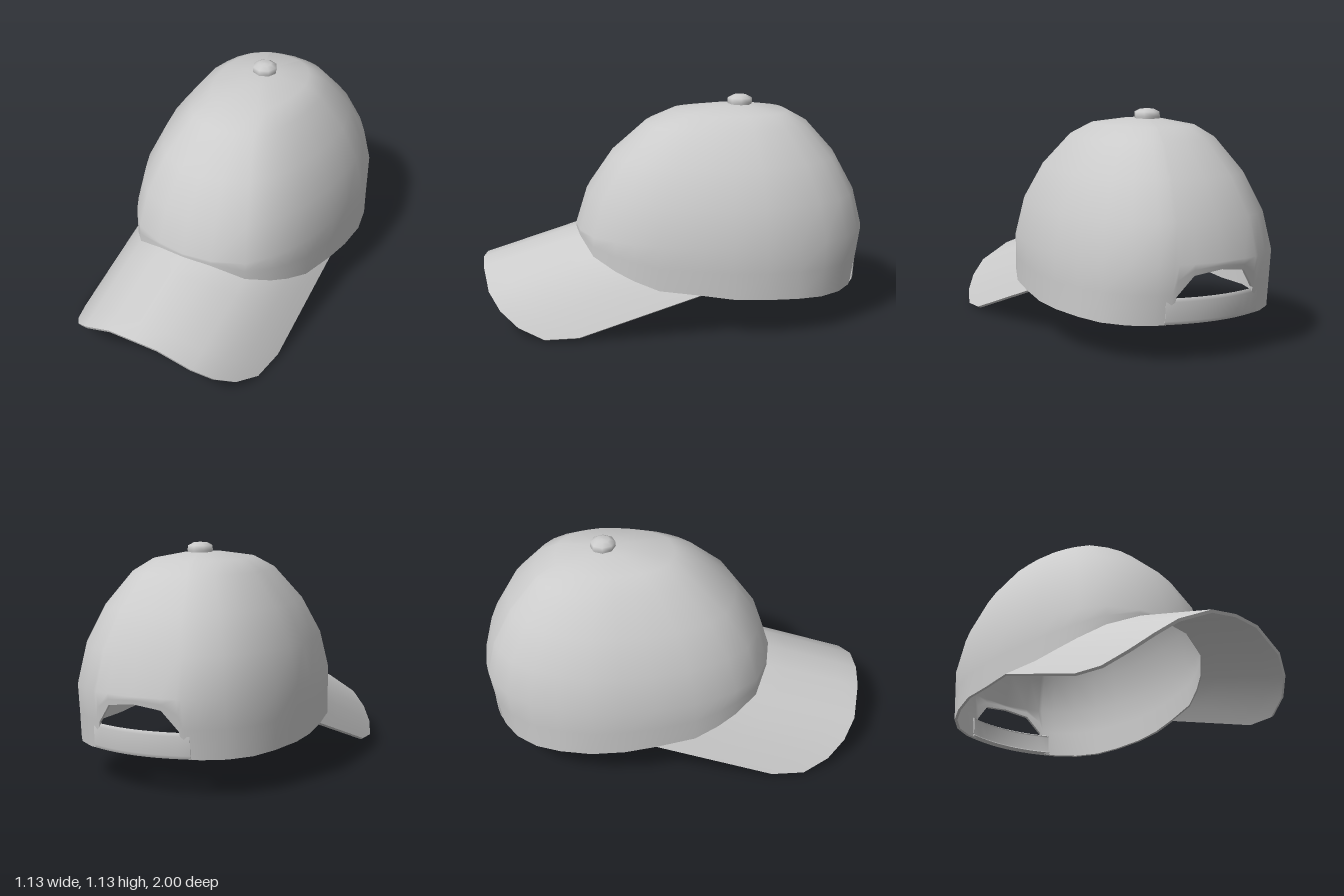
import * as THREE from 'three';
import { mergeVertices } from 'three/addons/utils/BufferGeometryUtils.js';

// Arched, forward-sloping surface shared by the brim and the crown's front seam
const brimY = (x, z) => 0.607 - 0.327 * z - 0.425 * Math.pow(Math.abs(x) / 0.548, 2.4);
const lerp = THREE.MathUtils.lerp;

// Half outline of the crown from front centre to back centre: x, z
const front = [[0, 0.505], [0.15, 0.485], [0.31, 0.42], [0.4, 0.31], [0.45, 0.22], [0.5, 0.1], [0.545, -0.1]];
const frontRim = front.map(([x, z]) => [x, z, brimY(x, z)]);
// Sides and back: x, z, rim height; the rim rises at the end for the rear opening
const backRim = [
  [0.56, -0.26, 0.2], [0.565, -0.43, 0.195], [0.53, -0.59, 0.185], [0.48, -0.73, 0.177], [0.4, -0.85, 0.175],
  [0.3, -0.93, 0.176], [0.235, -0.96, 0.178], [0.215, -0.966, 0.31], [0.14, -0.984, 0.405], [0, -1, 0.425],
];
// Front edge of the brim, matched to the front seam: x, z
const brimEdge = [[0, 0.995], [0.14, 0.985], [0.31, 0.95], [0.4, 0.89], [0.47, 0.8], [0.525, 0.67], [0.548, 0.5]];

// Dome profile: share of radius, share of height
const dome = [[0.93, 0.3], [0.78, 0.59], [0.56, 0.85], [0.4, 0.945], [0.15, 0.99], [0, 1]];
const BASE = 0.46, TOP = 1.085, APEX_Z = -0.33;

// Surface through columns of points; columns run right, points run up
function gridSurface(columns) {
  const rows = columns[0].length, index = [];
  const geo = new THREE.BufferGeometry().setFromPoints(columns.flat());
  for (let i = 0; i < columns.length - 1; i++) {
    for (let j = 0; j < rows - 1; j++) {
      const a = i * rows + j, b = a + rows;
      index.push(a, b, b + 1, a, b + 1, a + 1);
    }
  }
  geo.setIndex(index);
  const merged = mergeVertices(geo, 1e-4);
  const src = merged.index.array, clean = [];
  for (let k = 0; k < src.length; k += 3) {
    const [a, b, c] = [src[k], src[k + 1], src[k + 2]];
    if (a !== b && b !== c && a !== c) clean.push(a, b, c);
  }
  merged.setIndex(clean);
  merged.computeVertexNormals();
  return merged;
}

// Gives a surface an inner side and walls along its open edges
function thicken(geo, thickness) {
  const p = geo.attributes.position, n = geo.attributes.normal, tri = geo.index.array;
  const outer = [], inner = [];
  for (let i = 0; i < p.count; i++) {
    const v = new THREE.Vector3().fromBufferAttribute(p, i);
    outer.push(v);
    inner.push(v.clone().addScaledVector(new THREE.Vector3().fromBufferAttribute(n, i), -thickness));
  }
  const points = [...outer, ...inner], index = [], edges = new Map();
  for (let k = 0; k < tri.length; k += 3) {
    const t = [tri[k], tri[k + 1], tri[k + 2]];
    index.push(...t, t[0] + p.count, t[2] + p.count, t[1] + p.count);
    t.forEach((a, e) => edges.set(`${a},${t[(e + 1) % 3]}`, [a, t[(e + 1) % 3]]));
  }
  for (const [a, b] of edges.values()) {
    if (edges.has(`${b},${a}`)) continue;
    const s = points.length;
    points.push(outer[b], outer[a], inner[a], inner[b]);
    index.push(s, s + 1, s + 2, s, s + 2, s + 3);
  }
  const solid = new THREE.BufferGeometry().setFromPoints(points);
  solid.setIndex(index);
  solid.computeVertexNormals();
  return solid;
}

// One upright rib of the crown, from rim to apex
function crownColumn([x, z, rim]) {
  const points = [0, 0.5, 1].map((k) => {
    const y = lerp(rim, BASE, k);
    const tuck = 0.045 * ((BASE - y) / 0.28) * THREE.MathUtils.clamp((-z - 0.6) / 0.4, 0, 1);
    return new THREE.Vector3(x, y, z + tuck);
  });
  for (const [r, h] of dome) {
    points.push(new THREE.Vector3(x * r, lerp(BASE, TOP, h), lerp(APEX_Z, z, r)));
  }
  return points;
}

const mirrorX = ([x, ...rest]) => [-x, ...rest];

export function createModel() {
  const cap = new THREE.Group();
  cap.name = 'cap';
  const material = new THREE.MeshStandardMaterial({ color: 0xcccccc, side: THREE.DoubleSide });
  const add = (name, geometry) => {
    const mesh = new THREE.Mesh(geometry, material);
    mesh.name = name;
    cap.add(mesh);
    return mesh;
  };

  // Crown: a closed ring of ribs, front to back and round again
  const half = [...frontRim, ...backRim];
  const ring = [...half, ...half.slice(0, -1).reverse().map(mirrorX)];
  add('crown', thicken(gridSurface(ring.map(crownColumn)), 0.015));

  // Brim: strips from the front edge back to the seam, bent by the arch rule
  const strips = front.map(([x, z], i) => [x, z, ...brimEdge[i]]);
  const allStrips = [
    ...strips.slice(1).reverse().map(([x, z, ex, ez]) => [-x, z, -ex, ez]),
    ...strips,
  ];
  const brimColumns = allStrips.map(([x, z, ex, ez]) => {
    const points = [];
    for (let k = 0; k <= 5; k++) {
      const px = lerp(ex, x, k / 5), pz = lerp(ez, z, k / 5);
      points.push(new THREE.Vector3(px, brimY(px, pz), pz));
    }
    return points;
  });
  add('brim', thicken(gridSurface(brimColumns), 0.015));

  // Strap: curved band across the rear opening
  const strapColumns = [];
  for (let i = 0; i <= 10; i++) {
    const x = lerp(0.26, -0.26, i / 10);
    const z = -0.972 + 0.05 * (x / 0.26) ** 2;
    strapColumns.push([[0.178, 0.012], [0.195, 0.003], [0.285, -0.003], [0.302, 0.006]]
      .map(([y, dz]) => new THREE.Vector3(x, y, z + dz)));
  }
  add('strap', thicken(gridSurface(strapColumns), 0.025));

  // Button on top
  const buttonProfile = [[0.058, 1.065], [0.065, 1.09], [0.063, 1.113], [0.035, 1.127], [0, 1.13]]
    .map(([r, y]) => new THREE.Vector2(r, y));
  add('button', new THREE.LatheGeometry(buttonProfile, 8)).position.z = -0.355;

  return cap;
}
